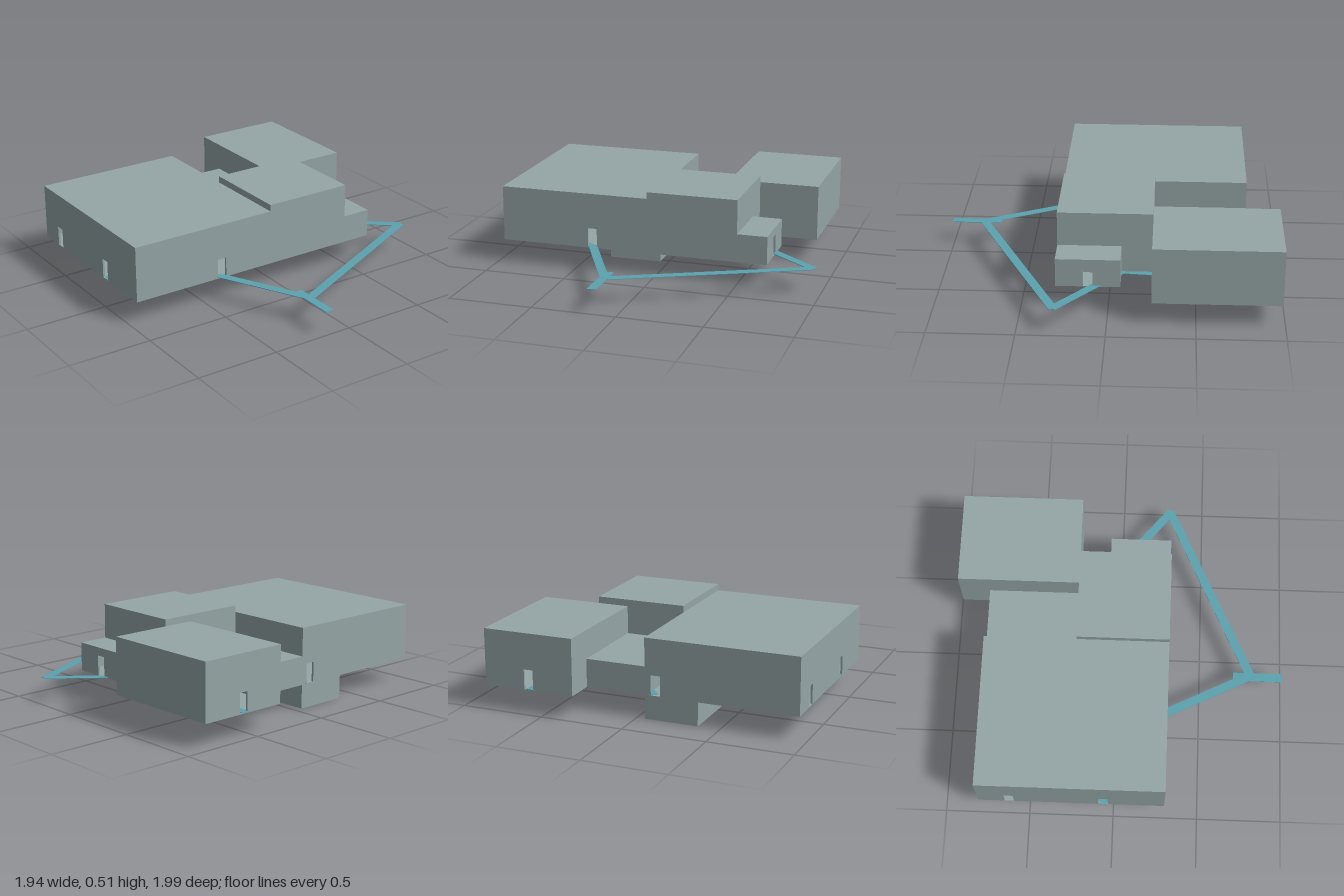
import * as THREE from 'three';

const concrete = new THREE.MeshStandardMaterial({ color: 0x95a5a6 });
concrete.name = 'concrete grey';
const pathBlue = new THREE.MeshStandardMaterial({ color: 0x5ba3b0 });
pathBlue.name = 'path blue';

const BASE = 0.14, FLOOR = 0.003, T = 0.012;
const DOOR_W = 0.056, DOOR_H = 0.118;

function box(name, x0, x1, y0, y1, z0, z1) {
  const mesh = new THREE.Mesh(new THREE.BoxGeometry(x1 - x0, y1 - y0, z1 - z0), concrete);
  mesh.position.set((x0 + x1) / 2, (y0 + y1) / 2, (z0 + z1) / 2);
  mesh.name = name;
  return mesh;
}

// Wall panel with doorway notches cut up from its lower edge
function wall(name, length, height, doors) {
  const s = new THREE.Shape();
  s.moveTo(0, 0);
  for (const d of [...doors].sort((a, b) => a - b)) {
    s.lineTo(d - DOOR_W / 2, 0);
    s.lineTo(d - DOOR_W / 2, DOOR_H);
    s.lineTo(d + DOOR_W / 2, DOOR_H);
    s.lineTo(d + DOOR_W / 2, 0);
  }
  s.lineTo(length, 0);
  s.lineTo(length, height);
  s.lineTo(0, height);
  s.closePath();
  const mesh = new THREE.Mesh(new THREE.ExtrudeGeometry(s, { depth: T, bevelEnabled: false }), concrete);
  mesh.name = name;
  return mesh;
}

// Hollow room: floor, roof and four walls; door lists hold world x or z centres
function room(name, x0, x1, z0, z1, top, { front = [], back = [], left = [], right = [] } = {}) {
  const g = new THREE.Group();
  g.name = name;
  const y = BASE + FLOOR, h = top - T - y;
  g.add(box('floor', x0, x1, BASE, y, z0, z1), box('roof', x0, x1, top - T, top, z0, z1));
  for (const [label, doors, z] of [['frontWall', front, z1 - T], ['backWall', back, z0]]) {
    const w = wall(label, x1 - x0, h, doors.map(d => d - x0));
    w.position.set(x0, y, z);
    g.add(w);
  }
  for (const [label, doors, x] of [['leftWall', left, x1], ['rightWall', right, x0 + T]]) {
    const w = wall(label, z1 - z0 - 2 * T, h, doors.map(d => d - z0 - T));
    w.rotation.y = -Math.PI / 2;
    w.position.set(x, y, z0 + T);
    g.add(w);
  }
  return g;
}

// Flat path strip between two ground points
function strip(ax, az, bx, bz, lift = 0) {
  const len = Math.hypot(bx - ax, bz - az);
  const mesh = new THREE.Mesh(new THREE.BoxGeometry(len, 0.003, 0.052), pathBlue);
  mesh.position.set((ax + bx) / 2, BASE + FLOOR + 0.0025 + lift, (az + bz) / 2);
  mesh.rotation.y = -Math.atan2(bz - az, bx - ax);
  mesh.name = 'pathStrip';
  return mesh;
}

export function createModel() {
  const model = new THREE.Group();
  model.name = 'building';

  // Building volumes
  model.add(
    room('mainHall', -0.96, -0.05, -0.8, 0.3, 0.475,
      { front: [-0.39], back: [-0.115], right: [-0.615, -0.06] }),
    room('tallRoom', -0.05, 0.5, -0.25, 0.3, 0.515),
    room('porch', 0.5, 0.68, -0.07, 0.3, 0.31, { left: [0.115] }),
    room('lowConnector', -0.05, 0.31, -0.8, -0.25, 0.308),
    room('rearWing', 0.31, 0.86, -0.98, -0.25, 0.475, { back: [0.585] }),
    box('basement', -0.37, -0.05, 0, BASE, -0.8, 0.03)
  );

  // Paths outside and running on through the rooms
  const paths = new THREE.Group();
  paths.name = 'paths';
  [
    [-0.14, 1.0, -0.14, 0.7],
    [-0.13, 0.81, -0.39, 0.29],
    [-0.14, 0.81, 0.955, 0.29],
    [0.955, 0.3, 0.5, -0.07],
    [-0.39, 0.29, -0.955, -0.07],
    [0.5, -0.07, -0.1, -0.79],
    [0.5, -0.07, 0.575, -0.985]
  ].forEach((p, i) => paths.add(strip(...p, i * 0.0002)));
  model.add(paths);

  return model;
}
